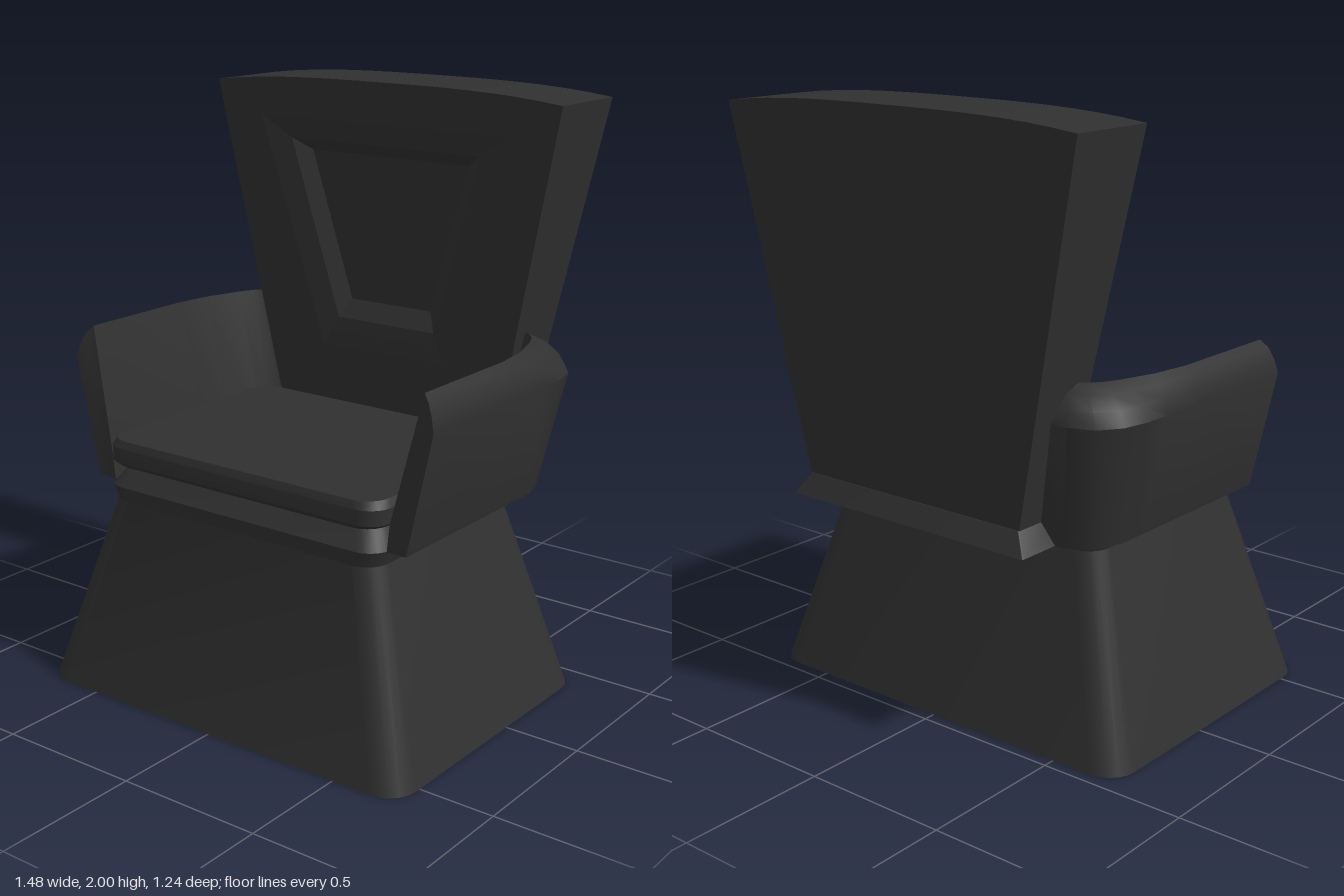
import * as THREE from 'three';
import { toCreasedNormals } from 'three/addons/utils/BufferGeometryUtils.js';

// Skin a list of equal-length point loops and cap both ends
function loft(loops, crease = 0.4) {
  const pos = [];
  const tri = (a, b, c) => pos.push(...a, ...b, ...c);
  const n = loops[0].length;
  const centre = (l) => [0, 1, 2].map((k) => l.reduce((s, p) => s + p[k], 0) / n);
  const first = loops[0], last = loops[loops.length - 1];
  const c0 = centre(first), c1 = centre(last);
  for (let j = 0; j < n; j++) {
    const k = (j + 1) % n;
    for (let i = 0; i < loops.length - 1; i++) {
      const A = loops[i], B = loops[i + 1];
      tri(A[j], A[k], B[k]);
      tri(A[j], B[k], B[j]);
    }
    tri(c0, first[k], first[j]);
    tri(c1, last[j], last[k]);
  }
  const g = new THREE.BufferGeometry();
  g.setAttribute('position', new THREE.Float32BufferAttribute(pos, 3));
  return toCreasedNormals(g, crease);
}

// Horizontal rounded rectangle at height y
function roundedLoop([y, hw, z0, z1, r]) {
  const pts = [];
  const corners = [[hw - r, z0 + r], [-hw + r, z0 + r], [-hw + r, z1 - r], [hw - r, z1 - r]];
  corners.forEach(([cx, cz], q) => {
    for (let i = 0; i <= 5; i++) {
      const a = (q + i / 5) * Math.PI / 2;
      pts.push([cx + r * Math.cos(a), y, cz - r * Math.sin(a)]);
    }
  });
  return pts;
}

// Upright trapezoid whose top edge may bulge; zAt gives depth at each height
function trapezoidLoop(wBottom, yBottom, wTop, yTop, bulge, zAt) {
  const pts = [[-wBottom, yBottom], [wBottom, yBottom]];
  const steps = 16;
  for (let i = 0; i <= steps; i++) {
    const u = 1 - 2 * i / steps;
    pts.push([u * wTop, yTop + bulge * (1 - Math.abs(u) ** 3)]);
  }
  return pts.map(([x, y]) => [x, y, zAt(y)]);
}

// Arm cross-section from plan positions of its inner foot, top edge, bulge and outer foot
function armLoop([ix, iz, tx, tz, ox, oz, bx, bz]) {
  const mid = (t) => [ox + (tx - ox) * t, oz + (tz - oz) * t];
  const [m1x, m1z] = mid(0.2), [m2x, m2z] = mid(0.55);
  return [
    [ix - 0.01, 0.70, iz], [ix, 0.79, iz], [tx, 1.21, tz],
    [m2x, 1.185, m2z], [m1x, 1.145, m1z], [ox, 1.10, oz], [bx, 0.70, bz],
  ];
}

export function createModel() {
  const group = new THREE.Group();
  const charcoal = new THREE.MeshStandardMaterial({ color: 0x303030 });
  charcoal.name = 'charcoal';
  const add = (name, geometry) => {
    const mesh = new THREE.Mesh(geometry, charcoal);
    mesh.name = name;
    group.add(mesh);
  };

  // Flared pedestal with a lipped collar
  add('base', loft([
    [0, 0.74, -0.46, 0.62, 0.10],
    [0.65, 0.545, -0.32, 0.478, 0.08],
    [0.70, 0.56, -0.33, 0.485, 0.08],
    [0.77, 0.51, -0.30, 0.435, 0.07],
  ].map(roundedLoop)));

  // Seat cushion with soft edges
  add('seatCushion', loft([
    [0.77, 0.54, -0.36, 0.472, 0.08],
    [0.785, 0.56, -0.37, 0.485, 0.08],
    [0.835, 0.56, -0.37, 0.485, 0.08],
    [0.86, 0.545, -0.36, 0.475, 0.08],
  ].map(roundedLoop)));

  // Tapered backrest with a recessed front panel
  const front = (y) => -0.352 + (y - 0.7) * 0.044;
  const back = (y) => -0.552 - (y - 0.77) * 0.053;
  add('backrest', loft([
    trapezoidLoop(0.426, 0.70, 0.695, 1.97, 0.03, back),
    trapezoidLoop(0.426, 0.70, 0.695, 1.97, 0.03, front),
    trapezoidLoop(0.255, 1.06, 0.505, 1.86, 0, front),
    trapezoidLoop(0.20, 1.165, 0.385, 1.785, 0, (y) => front(y) - 0.015),
    trapezoidLoop(0.165, 1.23, 0.32, 1.745, 0, (y) => front(y) - 0.05),
  ], 0.15));

  // Flared skirt under the backrest
  add('backSkirt', loft([
    [0.70, 0.485, -0.59, -0.31, 0.005],
    [0.77, 0.44, -0.555, -0.34, 0.005],
  ].map(roundedLoop)));

  // Wraparound arms: straight run, then a curve into the backrest
  const stations = [
    [0.57, 0.43, 0.667, 0.40, 0.72, 0.43, 0.63, 0.43],
    [0.57, -0.03, 0.667, -0.03, 0.72, -0.03, 0.63, -0.03],
    [0.555, -0.15, 0.65, -0.16, 0.72, -0.20, 0.63, -0.20],
    [0.52, -0.28, 0.61, -0.29, 0.718, -0.30, 0.63, -0.29],
    [0.49, -0.32, 0.585, -0.345, 0.70, -0.39, 0.61, -0.36],
    [0.46, -0.35, 0.55, -0.385, 0.65, -0.46, 0.575, -0.41],
    [0.43, -0.37, 0.50, -0.40, 0.57, -0.49, 0.51, -0.435],
    [0.39, -0.38, 0.42, -0.41, 0.44, -0.495, 0.41, -0.44],
  ];
  const leftArm = stations.map(armLoop);
  const rightArm = leftArm.map((l) => l.map(([x, y, z]) => [-x, y, z]).reverse());
  add('leftArm', loft(leftArm, 0.6));
  add('rightArm', loft(rightArm, 0.6));

  return group;
}
